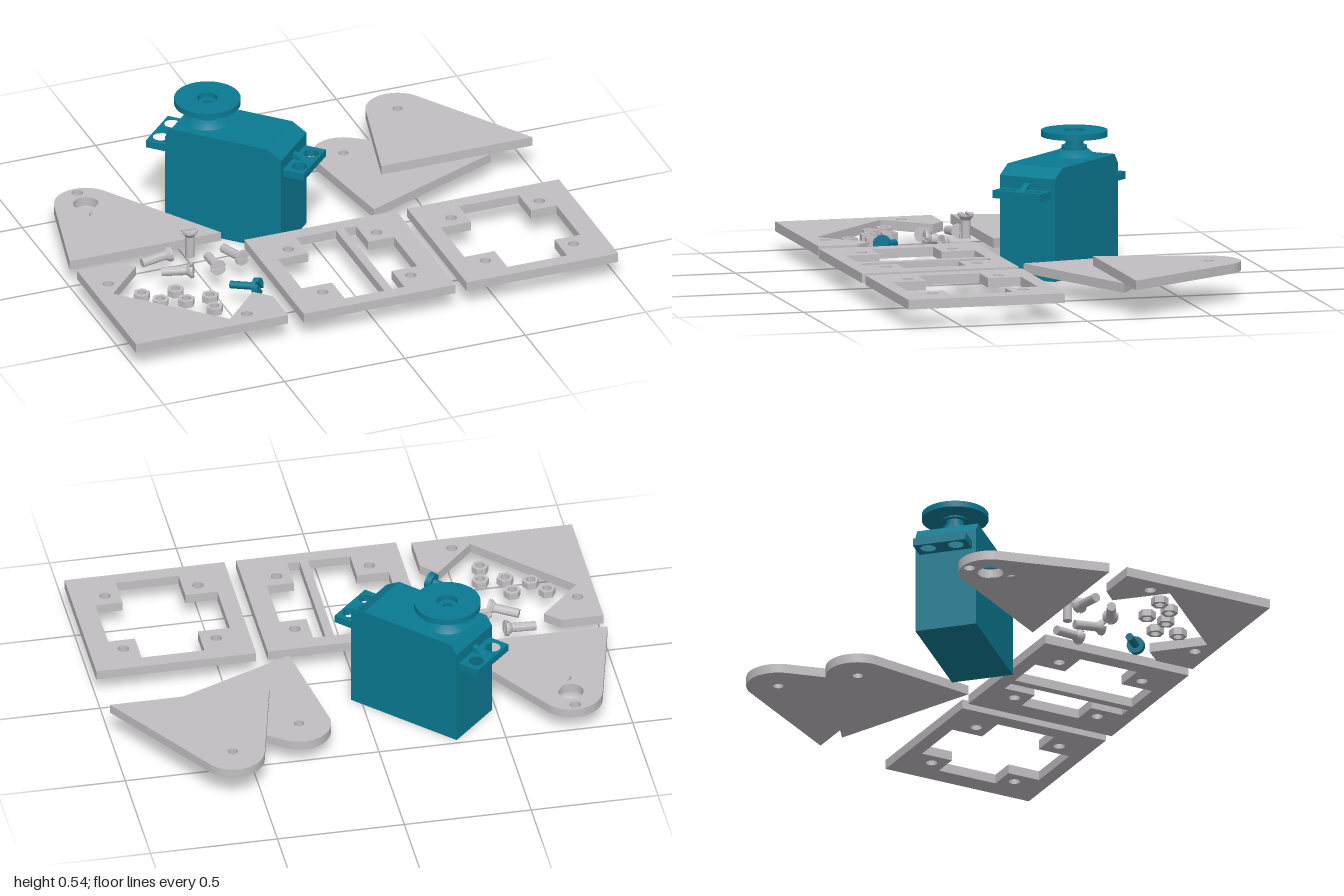
import * as THREE from 'three';
import { toCreasedNormals } from 'three/addons/utils/BufferGeometryUtils.js';

const grey = new THREE.MeshStandardMaterial({ color: 0xc2bfc2 });
grey.name = 'plate grey';
const teal = new THREE.MeshStandardMaterial({ color: 0x0a7a92 });
teal.name = 'servo teal';

const THICK = 0.0375, FLOOR = 0.075;

function add(parent, name, geometry, material, x = 0, y = 0, z = 0) {
  const m = new THREE.Mesh(geometry, material);
  m.name = name;
  m.position.set(x, y, z);
  parent.add(m);
  return m;
}

const polygon = (pts, Type = THREE.Shape) => new Type(pts.map(p => new THREE.Vector2(...p)));

function drill(shape, holes) {
  for (const [x, z, r] of holes) shape.holes.push(new THREE.Path().absarc(x, z, r, 0, Math.PI * 2, true));
  return shape;
}

// Flat slab from an outline in x and z, standing on y = 0
function slab(shape, height = THICK) {
  const g = new THREE.ExtrudeGeometry(shape, { depth: height, bevelEnabled: false, curveSegments: 16 });
  return toCreasedNormals(g.rotateX(Math.PI / 2).translate(0, height, 0), 0.6);
}

const lathe = (pts, sides = 32) =>
  toCreasedNormals(new THREE.LatheGeometry(pts.map(p => new THREE.Vector2(...p)), sides), 0.5);

// Triangular bracket: straight base, sides tangent to a round tip
function bracket(holes) {
  const c = [0.225, -0.401], r = 0.124, base = 0.628;
  const tangent = (px, side) => {
    const dx = px - c[0], dz = -c[1];
    return Math.atan2(dz, dx) + side * Math.acos(r / Math.hypot(dx, dz));
  };
  const s = new THREE.Shape();
  s.absarc(c[0], c[1], r, tangent(0, 1), tangent(base, -1) + Math.PI * 2, false);
  s.lineTo(base, 0);
  s.lineTo(0, 0);
  s.closePath();
  return slab(drill(s, holes.map(([dz, hr]) => [c[0], c[1] + dz, hr])));
}

// Square frame with a cross-shaped window and four screw holes
function frame() {
  const s = polygon([[0, 0], [0.63, 0], [0.63, 0.628], [0, 0.628]]);
  const [x0, x1, x2, x3] = [0.066, 0.192, 0.44, 0.546];
  const [z0, z1, z2, z3] = [0.058, 0.189, 0.437, 0.571];
  s.holes.push(polygon([[x1, z0], [x1, z1], [x0, z1], [x0, z2], [x1, z2], [x1, z3],
    [x2, z3], [x2, z2], [x3, z2], [x3, z1], [x2, z1], [x2, z0]], THREE.Path));
  const holes = [];
  for (const x of [0.131, 0.497]) for (const z of [0.131, 0.494]) holes.push([x, z, 0.022]);
  return slab(drill(s, holes));
}

// Slotted screw laid from tail to head end
function screw(parent, name, material, tail, head, pan = false) {
  const a = new THREE.Vector3(...tail), d = new THREE.Vector3(...head).sub(a);
  const L = d.length(), g = new THREE.Group();
  g.name = name;
  g.position.copy(a);
  g.quaternion.setFromUnitVectors(new THREE.Vector3(0, 1, 0), d.normalize());
  const r = pan ? 0.015 : 0.018, R = pan ? 0.034 : 0.031, slot = 0.01;
  const under = pan ? [[r, L - 0.025], [R, L - 0.025], [R, L - slot]]
    : [[r, L - 0.027], [R, L - slot]];
  add(g, 'screwShank', lathe([[0, 0], [r, 0], ...under, [0, L - slot]], 16), material);
  // Two half discs leave the driver slot between them
  for (const turn of [0, Math.PI]) {
    const t = Math.asin(0.006 / R);
    const half = new THREE.Shape().absarc(0, 0, R, t, Math.PI - t, false);
    add(g, 'screwHeadHalf', slab(half, slot), material, 0, L - slot, 0).rotation.y = turn;
  }
  parent.add(g);
}

function servo() {
  const g = new THREE.Group();
  g.name = 'servo';
  const W = 0.245, E = 0.245;
  // Case with chamfered top ends
  const side = polygon([[-E, 0], [E, 0], [E, 0.4], [E - 0.06, 0.437], [-E + 0.025, 0.437], [-E, 0.4]]);
  add(g, 'servoCase', new THREE.ExtrudeGeometry(side, { depth: W, bevelEnabled: false }), teal, 0, 0, -W / 2);

  // Mounting ears and their ribs
  for (const s of [-1, 1]) {
    const a = s * E, b = s * 0.333;
    const ear = drill(polygon([[a, -0.106], [b, -0.106], [b, 0.106], [a, 0.106]]),
      [[s * 0.293, -0.056, 0.03], [s * 0.293, 0.056, 0.03]]);
    add(g, 'mountingEar', slab(ear, 0.03), teal, 0, 0.323, 0);
    const rib = polygon([[a, 0], [s * 0.29, 0], [a, 0.025]]);
    add(g, 'earRib', new THREE.ExtrudeGeometry(rib, { depth: 0.024, bevelEnabled: false }), teal, 0, 0.353, -0.012);
  }

  // Output boss, neck and horn disc with a recessed centre
  add(g, 'outputBoss', lathe([[0.085, 0.437], [0.057, 0.46], [0.05, 0.462], [0.05, 0.476], [0, 0.476]]), teal, -0.12);
  add(g, 'hornDisc', lathe([[0.035, 0.476], [0.035, 0.503], [0.047, 0.506], [0.047, 0.512],
    [0.129, 0.512], [0.129, 0.536], [0.04, 0.536], [0.04, 0.515], [0.018, 0.515], [0.018, 0.5], [0, 0.5]]), teal, -0.12);

  g.position.set(-0.223, 0, -0.221);
  g.rotation.y = -Math.PI / 4;
  return g;
}

export function createModel() {
  const model = new THREE.Group();
  model.name = 'servoMountKit';
  model.add(servo());

  // Triangular brackets
  add(model, 'drilledBracket', bracket([[0, 0.05], [-0.092, 0.022], [0.092, 0.022]]), grey, -1, FLOOR, 0);
  const plain = bracket([[0, 0.02]]);
  add(model, 'lowerBracket', plain, grey, 0.245, FLOOR, 0.048).rotation.y = 0.398;
  add(model, 'upperBracket', plain, grey, 0.371, FLOOR + THICK, -0.196);

  // Window frames
  const frameShape = frame();
  add(model, 'rightFrame', frameShape, grey, 0.367, FLOOR, 0.088);
  add(model, 'middleFrame', frameShape, grey, -0.309, FLOOR, 0.089);
  add(model, 'frameBar', new THREE.BoxGeometry(0.034, THICK, 0.52), grey, 0.065, FLOOR + THICK / 2, 0.403);

  // Notched corner plate
  const corner = polygon([[-1, 0.077], [-0.834, 0.077], [-0.776, 0.133], [-0.937, 0.299], [-0.589, 0.649],
    [-0.428, 0.483], [-0.368, 0.545], [-0.368, 0.703], [-1, 0.703]]);
  add(model, 'cornerPlate', slab(drill(corner, [[-0.926, 0.219, 0.022], [-0.514, 0.636, 0.022]])), grey, 0, FLOOR, 0);

  // Screws: one upright, four lying down, one teal horn screw
  screw(model, 'uprightScrew', grey, [-0.528, 0.075, 0.069], [-0.528, 0.192, 0.069]);
  const lying = [
    [-0.733, 0.085, -0.61, 0.074], [-0.687, 0.177, -0.576, 0.231],
    [-0.476, 0.128, -0.479, 0.25], [-0.397, 0.09, -0.363, 0.212],
  ];
  for (const [x0, z0, x1, z1] of lying) screw(model, 'lyingScrew', grey, [x0, 0.095, z0], [x1, 0.107, z1]);
  screw(model, 'hornScrew', teal, [-0.476, 0.095, 0.368], [-0.384, 0.109, 0.449], true);

  // Hex nuts
  const hex = polygon([0, 1, 2, 3, 4, 5].map(i => [0.034 * Math.cos(i * Math.PI / 3), 0.034 * Math.sin(i * Math.PI / 3)]));
  const nut = slab(drill(hex, [[0, 0, 0.018]]), 0.028);
  const spots = [[-0.824, 0.315], [-0.773, 0.384], [-0.69, 0.331], [-0.68, 0.419], [-0.583, 0.424], [-0.6, 0.515]];
  for (const [x, z] of spots) add(model, 'hexNut', nut, grey, x, FLOOR, z);

  return model;
}
